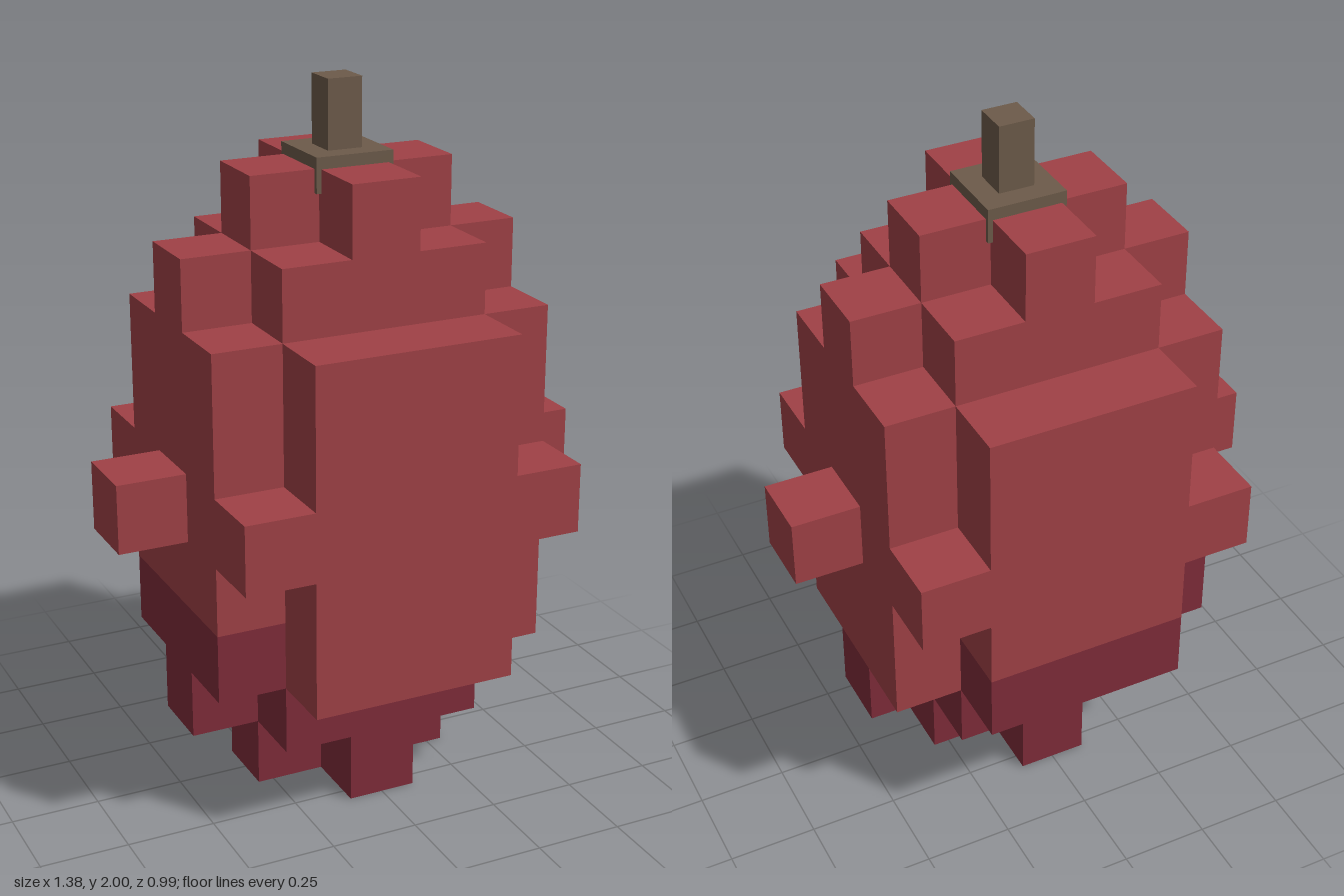
import * as THREE from 'three';

const U = 0.1975; // edge of one block

export function createModel() {
  const model = new THREE.Group();
  const red = new THREE.MeshStandardMaterial({ color: 0xa04146 });
  red.name = 'red skin';
  const dark = new THREE.MeshStandardMaterial({ color: 0x7f2c3a });
  dark.name = 'dark red skin';
  const brown = new THREE.MeshStandardMaterial({ color: 0x6d5b4a });
  brown.name = 'brown stem';

  function box(name, material, x0, x1, y0, y1, z0, z1) {
    const mesh = new THREE.Mesh(new THREE.BoxGeometry(x1 - x0, y1 - y0, z1 - z0), material);
    mesh.position.set((x0 + x1) / 2, (y0 + y1) / 2, (z0 + z1) / 2);
    mesh.name = name;
    model.add(mesh);
  }
  // Fills an inclusive range of blocks; x and z are centred on block 0, y starts at the ground
  function blocks(name, material, [xa, xb], [ya, yb], [za, zb]) {
    box(name, material, (xa - 0.5) * U, (xb + 0.5) * U, ya * U, (yb + 1) * U, (za - 0.5) * U, (zb + 0.5) * U);
  }
  // A cross of blocks: a bar along z and a block on either side
  function cross(name, material, row) {
    blocks(name, material, [0, 0], [row, row], [-1, 1]);
    for (const s of [-1, 1]) blocks(name, material, [s, s], [row, row], [0, 0]);
  }

  // Dark base
  cross('baseTip', dark, 0);
  blocks('baseCore', dark, [-1, 1], [1, 1], [-1, 1]);
  for (const s of [-1, 1]) blocks('baseSide', dark, [2 * s, 2 * s], [1, 1], [0, 0]);

  // Lowest body row: dark on the right and back, red elsewhere
  blocks('lowerBodyRight', dark, [-2, -2], [2, 2], [-1, 1]);
  blocks('lowerBodyBack', dark, [-1, 1], [2, 2], [-2, -2]);
  blocks('lowerBody', red, [-1, 2], [2, 2], [-1, 1]);
  blocks('lowerBodyFront', red, [-1, 1], [2, 2], [2, 2]);

  // Main body with bumps round the middle
  blocks('body', red, [-2, 2], [3, 6], [-1, 1]);
  for (const s of [-1, 1]) {
    blocks('bodyPanel', red, [-1, 1], [3, 6], [2 * s, 2 * s]);
    blocks('sideBump', red, [3 * s, 3 * s], [4, 4], [0, 0]);
    for (const t of [-1, 1]) blocks('cornerBump', red, [2 * s, 2 * s], [4, 4], [2 * t, 2 * t]);
  }

  // Shoulders and crown
  blocks('shoulder', red, [-1, 1], [7, 7], [-1, 1]);
  for (const s of [-1, 1]) blocks('shoulderSide', red, [2 * s, 2 * s], [7, 7], [0, 0]);
  cross('crown', red, 8);

  // Stem
  box('stemPlate', brown, -0.112, 0.112, 1.713, 1.81, -0.112, 0.112);
  box('stem', brown, -0.05, 0.05, 1.81, 2, -0.05, 0.05);

  return model;
}
